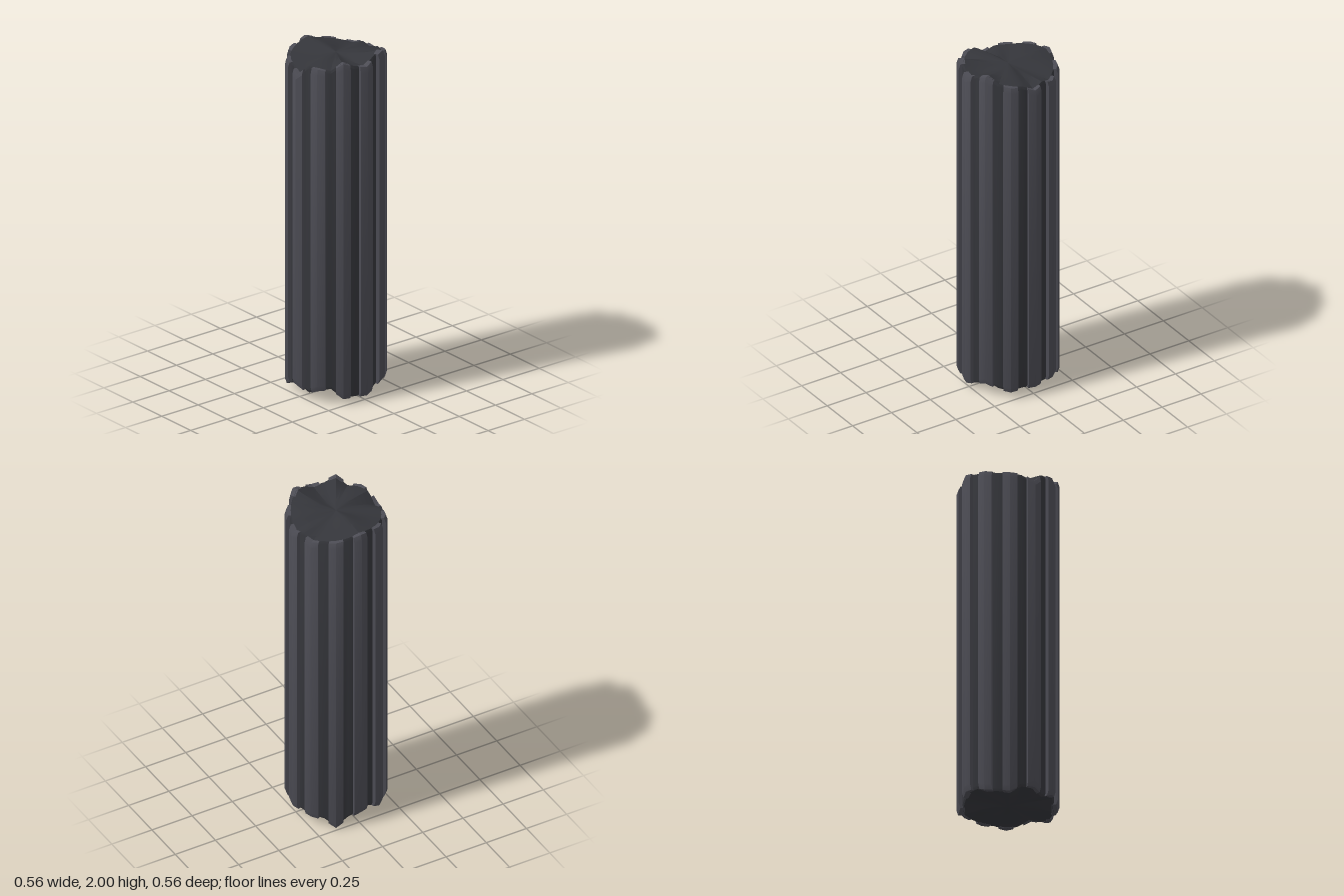
import * as THREE from 'three';
import { toCreasedNormals } from 'three/addons/utils/BufferGeometryUtils.js';

const RIBS = 12;
// Broken edge heights, alternating rib centre and flute centre, from +z towards +x
const TOP = [1.89, 1.95, 1.95, 1.94, 1.99, 1.96, 1.95, 1.98, 2.0, 1.96, 1.95, 1.94,
  1.91, 1.93, 1.91, 1.92, 1.93, 1.94, 1.96, 1.95, 1.94, 1.93, 1.92, 1.92];
const BOTTOM = [0.07, 0.04, 0.07, 0.08, 0.03, 0.03, 0.03, 0.05, 0.08, 0.05, 0.04, 0.05,
  0.05, 0.05, 0.05, 0.04, 0.0, 0.05, 0.08, 0.08, 0.05, 0.04, 0.03, 0.07];

// Height of a broken edge at an angle in degrees
function edgeHeight(table, deg) {
  const t = (((deg % 360) + 360) % 360) / 15;
  const i = Math.floor(t);
  return THREE.MathUtils.lerp(table[i % 24], table[(i + 1) % 24], t - i);
}

function polar(deg, r, y) {
  const a = THREE.MathUtils.degToRad(deg);
  return [Math.sin(a) * r, y, Math.cos(a) * r];
}

// Skin a stack of closed rings, each with the same number of points
function loft(rings) {
  const n = rings[0].length;
  const index = [];
  for (let i = 0; i < rings.length - 1; i++) {
    for (let j = 0; j < n; j++) {
      const a = i * n + j, b = i * n + (j + 1) % n;
      index.push(a, b, b + n, a, b + n, a + n);
    }
  }
  const geometry = new THREE.BufferGeometry();
  geometry.setAttribute('position', new THREE.Float32BufferAttribute(rings.flat(2), 3));
  geometry.setIndex(index);
  return toCreasedNormals(geometry, 0.4);
}

// Core with flat flutes and uneven fractured ends
function coreGeometry() {
  const outline = [];
  for (let k = 0; k < RIBS; k++) {
    for (const [offset, r] of [[-9, 0.25], [0, 0.25], [9, 0.25], [15, 0.2486]]) {
      outline.push([k * 30 + offset, r]);
    }
  }
  const ring = (table, centre, s, inset = 0) => outline.map(([deg, r]) => {
    const ripple = 0.012 * Math.sin(s * Math.PI) * Math.sin(THREE.MathUtils.degToRad(deg * 3));
    const y = THREE.MathUtils.lerp(centre, edgeHeight(table, deg), s * s) + ripple;
    return polar(deg, r * s - inset, y);
  });
  const scales = [0, 0.35, 0.65, 0.85];
  return loft([
    ...scales.map(s => ring(BOTTOM, 0.06, s)),
    ring(BOTTOM, 0.06, 1, 0.006),
    outline.map(([deg, r]) => polar(deg, r, edgeHeight(BOTTOM, deg) + 0.015)),
    outline.map(([deg, r]) => polar(deg, r, edgeHeight(TOP, deg) - 0.015)),
    ring(TOP, 1.95, 1, 0.006),
    ...scales.reverse().map(s => ring(TOP, 1.95, s)),
  ]);
}

// Raised rib with a shallow pointed face and chamfered ends
function ribGeometry(centre) {
  const outline = [[-8.7, 0.271], [0, 0.278], [8.7, 0.271], [8.7, 0.235], [0, 0.235], [-8.7, 0.235]];
  const ring = (table, dy, inset) => outline.map(([offset, r]) => {
    const deg = centre + offset;
    return polar(deg, r > 0.25 ? r - inset : r, edgeHeight(table, deg) + dy);
  });
  const cap = table => outline.map(() => polar(centre, 0.25, edgeHeight(table, centre)));
  return loft([
    cap(BOTTOM),
    ring(BOTTOM, 0, 0.01),
    ring(BOTTOM, 0.03, 0),
    ring(TOP, -0.03, 0),
    ring(TOP, 0, 0.01),
    cap(TOP),
  ]);
}

export function createModel() {
  const group = new THREE.Group();
  group.name = 'brokenFlutedColumn';
  const coreMaterial = new THREE.MeshStandardMaterial({ color: 0x34353a });
  const ribMaterial = new THREE.MeshStandardMaterial({ color: 0x4c4c54 });

  const core = new THREE.Mesh(coreGeometry(), coreMaterial);
  core.name = 'core';
  group.add(core);

  for (let k = 0; k < RIBS; k++) {
    const rib = new THREE.Mesh(ribGeometry(k * 30), ribMaterial);
    rib.name = `rib${k + 1}`;
    group.add(rib);
  }
  return group;
}
